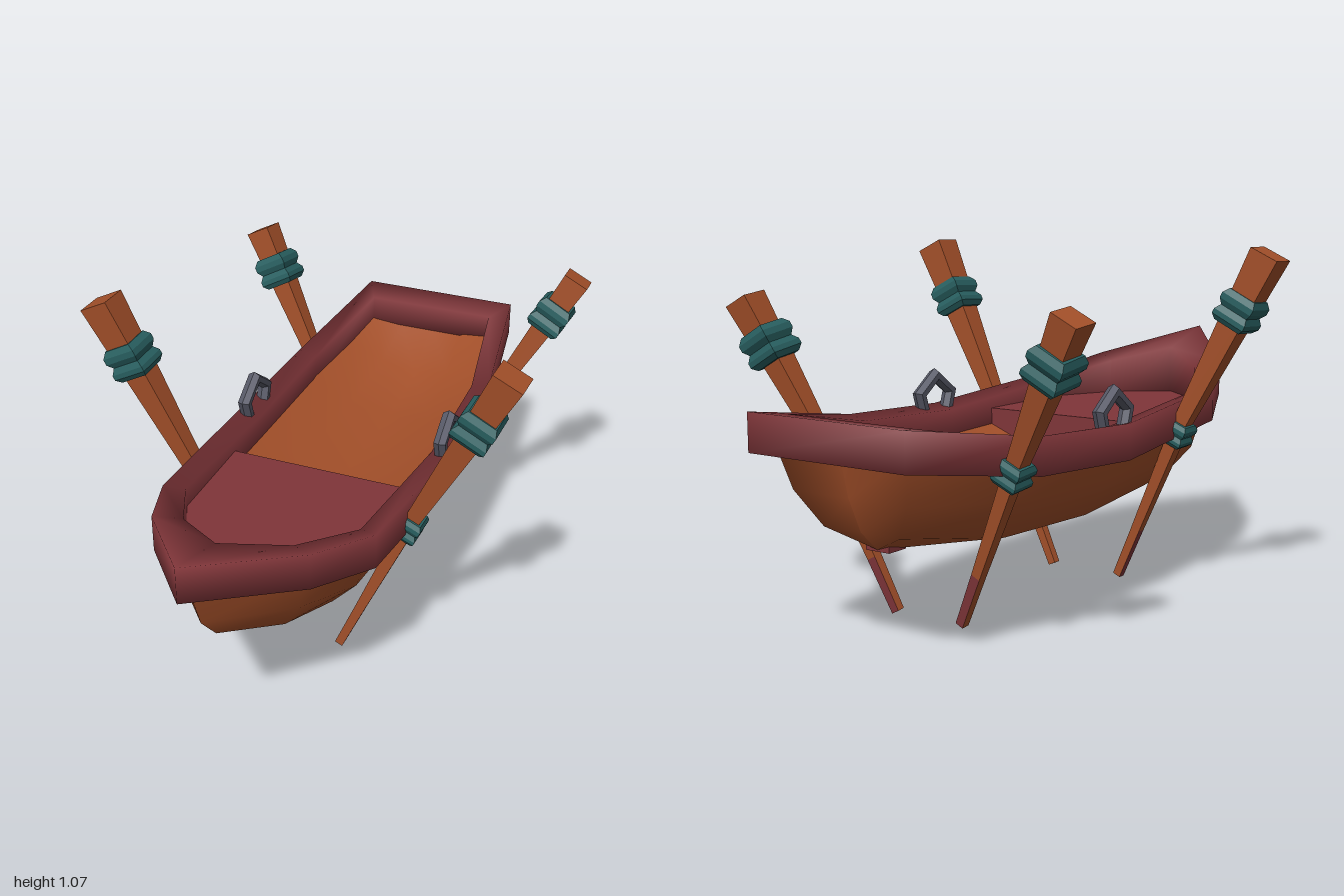
import * as THREE from 'three';
import { toCreasedNormals } from 'three/addons/utils/BufferGeometryUtils.js';

const mat = (name, color, side = THREE.FrontSide) => {
  const m = new THREE.MeshStandardMaterial({ color, side });
  m.name = name;
  return m;
};

// Smooth surface through rows of [x, y, z] points; optionally closed in either direction
function grid(rows, wrapRows = false, wrapCols = false) {
  const n = rows.length, m = rows[0].length, index = [];
  for (let i = 0; i < (wrapRows ? n : n - 1); i++) {
    for (let j = 0; j < (wrapCols ? m : m - 1); j++) {
      const i2 = (i + 1) % n, j2 = (j + 1) % m;
      const a = i * m + j, b = i2 * m + j, c = i2 * m + j2, d = i * m + j2;
      index.push(a, b, c, a, c, d);
    }
  }
  const g = new THREE.BufferGeometry();
  g.setAttribute('position', new THREE.Float32BufferAttribute(rows.flat(2), 3));
  g.setIndex(index);
  g.computeVertexNormals();
  return g;
}

const flip = ([x, y, z]) => [-x, y, z];

export function createModel() {
  const model = new THREE.Group();
  model.name = 'rowingBoat';
  const wood = mat('wood', 0xa24f29, THREE.DoubleSide);
  const red = mat('redPaint', 0x7f3539, THREE.DoubleSide);
  const teal = mat('tealBinding', 0x285f60);
  const iron = mat('iron', 0x565866);

  const add = (parent, name, geometry, material) => {
    const mesh = new THREE.Mesh(geometry, material);
    mesh.name = name;
    parent.add(mesh);
    return mesh;
  };

  // Hull: four lengthwise lines from the bow to the stern, gunwale down to keel
  const lines = [
    [[0, 0.66, 0.94], [0.21, 0.58, 0.68], [0.3, 0.53, 0.46], [0.325, 0.49, -0.1], [0.305, 0.51, -0.5], [0.23, 0.59, -0.945]],
    [[0, 0.5, 0.88], [0.18, 0.45, 0.66], [0.265, 0.41, 0.45], [0.292, 0.39, -0.1], [0.275, 0.4, -0.5], [0.195, 0.45, -0.91]],
    [[0, 0.41, 0.8], [0.12, 0.35, 0.62], [0.18, 0.31, 0.42], [0.21, 0.28, -0.1], [0.2, 0.29, -0.5], [0.13, 0.35, -0.865]],
    [[0, 0.41, 0.8], [0, 0.32, 0.6], [0, 0.28, 0.4], [0, 0.23, -0.1], [0, 0.25, -0.5], [0, 0.29, -0.8]],
  ];
  const stations = lines[0].map((_, i) => {
    const half = lines.map((l) => l[i]);
    return [...half.map(flip), ...half.slice(0, 3).reverse()];
  });
  stations.push(stations[5].map(([, y, z]) => [0, y, z])); // closes the transom
  add(model, 'hull', grid(stations), wood);

  // Small shoe let into the keel at the stern
  add(model, 'keelShoe', new THREE.BoxGeometry(0.08, 0.03, 0.07), red).position.set(0, 0.3, -0.765);

  // Floor: a shallow dish, given as [z, edge x, edge y, inner y, centre y]
  const floorRows = [
    [0.1, 0.3, 0.49, 0.43, 0.41], [-0.1, 0.3, 0.48, 0.42, 0.4], [-0.5, 0.29, 0.5, 0.43, 0.41],
    [-0.75, 0.25, 0.54, 0.48, 0.46], [-0.92, 0.22, 0.58, 0.57, 0.57],
  ].map(([z, x, edge, inner, centre]) =>
    [[x, edge, z], [x * 0.5, inner, z], [0, centre, z], [-x * 0.5, inner, z], [-x, edge, z]]);
  add(model, 'floor', grid(floorRows), wood);

  // Rim: [outer x, outer z, inner x, inner z, outer top y, inner top y] from bow to stern
  const rimHalf = [
    [0, 0.995, 0, 0.78, 0.75, 0.69],
    [0.235, 0.7, 0.165, 0.65, 0.665, 0.645],
    [0.33, 0.47, 0.272, 0.44, 0.61, 0.595],
    [0.36, -0.1, 0.29, -0.1, 0.57, 0.555],
    [0.34, -0.52, 0.28, -0.52, 0.59, 0.575],
    [0.265, -1, 0.215, -0.9, 0.665, 0.65],
  ];
  const rimLoop = [...rimHalf, ...rimHalf.slice(1).reverse().map(([a, b, c, ...rest]) => [-a, b, -c, ...rest])];
  const rimRows = rimLoop.map(([ox, oz, ix, iz, y, yi]) => {
    const low = y - 0.11;
    return [
      [ox, low, oz], [ox, y, oz], [ix, yi, iz],
      [ix, Math.min(low, 0.52), iz],
      [ox + (ix - ox) * 0.5, low, oz + (iz - oz) * 0.5],
    ];
  });
  // The inner lining at the stern stops above the floor
  rimRows.forEach((row) => { if (row[0][2] < -0.9) row[3][1] = 0.56; });
  add(model, 'rim', grid(rimRows, true, true), red);

  // Foredeck and the bulkhead below its rear edge
  const outline = (points) => new THREE.Shape(points.map(([x, y]) => new THREE.Vector2(x, y)));
  const deck = new THREE.ShapeGeometry(outline([
    [-0.3, -0.1], [-0.285, -0.44], [-0.18, -0.66], [0, -0.8], [0.18, -0.66], [0.285, -0.44], [0.3, -0.1],
  ]));
  add(model, 'foredeck', deck.rotateX(-Math.PI / 2).translate(0, 0.535, 0), red);
  const bulkhead = new THREE.ShapeGeometry(outline([
    [-0.3, 0.535], [-0.3, 0.49], [-0.15, 0.43], [0, 0.41], [0.15, 0.43], [0.3, 0.49], [0.3, 0.535],
  ]));
  add(model, 'bulkhead', bulkhead.rotateY(Math.PI).translate(0, 0, 0.1), red);

  // Tapered square pole; one face of its lower end is painted red
  function poleGeometry(points, halves, tipFace) {
    const t = points[2].clone().sub(points[0]).normalize();
    const v = new THREE.Vector3(0, 0, -1).addScaledVector(t, t.z).normalize();
    const u = v.clone().cross(t);
    const tip = points[0].clone().lerp(points[1], 0.33);
    const centres = [points[0], points[0], tip, points[1], points[2], points[2]];
    const rows = centres.map((c, i) => [[1, 1], [1, -1], [-1, -1], [-1, 1]].map(([a, b]) =>
      c.clone().addScaledVector(u, a * halves[i]).addScaledVector(v, b * halves[i]).toArray()));
    const g = grid(rows, false, true).toNonIndexed();
    g.computeVertexNormals();
    const start = (4 + tipFace) * 6;
    g.addGroup(0, start, 0);
    g.addGroup(start, 6, 1);
    g.addGroup(start + 6, g.attributes.position.count - start - 6, 0);
    return g;
  }

  // Square rope binding with two bulging turns
  function binding(parent, name, from, to, amount, half, length) {
    const profile = [[0.4, -1], [0.8, -1], [1, -0.7], [1, -0.4], [0.82, -0.05], [1, 0.3], [1, 0.65], [0.8, 1], [0.4, 1]]
      .map(([r, y]) => new THREE.Vector2(r * half * Math.SQRT2, y * length / 2));
    const g = toCreasedNormals(new THREE.LatheGeometry(profile, 4, Math.PI / 4), 0.3);
    const mesh = add(parent, name, g, teal);
    mesh.position.lerpVectors(from, to, amount);
    mesh.quaternion.setFromUnitVectors(new THREE.Vector3(0, 1, 0), to.clone().sub(from).normalize());
  }

  const V = (x, y, z) => new THREE.Vector3(x, y, z);
  const poles = [
    { name: 'front', points: [V(0.125, 0.01, 0.23), V(0.34, 0.5, 0.225), V(0.623, 1.05, 0.255)], top: 0.047, face: 0 },
    { name: 'rear', points: [V(0.115, 0.05, -0.585), V(0.33, 0.51, -0.635), V(0.56, 0.93, -0.71)], top: 0.042, face: 3 },
  ];
  for (const side of [1, -1]) {
    const label = side > 0 ? 'Left' : 'Right';
    for (const { name, points, top, face } of poles) {
      const group = new THREE.Group();
      group.name = name + label + 'Pole';
      group.scale.x = side;
      add(group, 'pole', poleGeometry(points, [0, 0.013, 0.015, 0.022, top, 0], face), [wood, red]);
      binding(group, 'upperBinding', points[1], points[2], 0.69, 0.057, 0.105);
      binding(group, 'lowerBinding', points[0], points[1], 0.99, 0.041, 0.075);
      model.add(group);
    }
    // Five-sided iron ring set into the rim
    const ring = new THREE.TorusGeometry(0.078, 0.022, 6, 5).rotateZ(Math.PI / 2).rotateY(Math.PI / 2);
    const lock = add(model, 'rowlock' + label, toCreasedNormals(ring, 0.6), iron);
    lock.position.set(side * 0.328, 0.587, -0.14);
  }
  return model;
}
